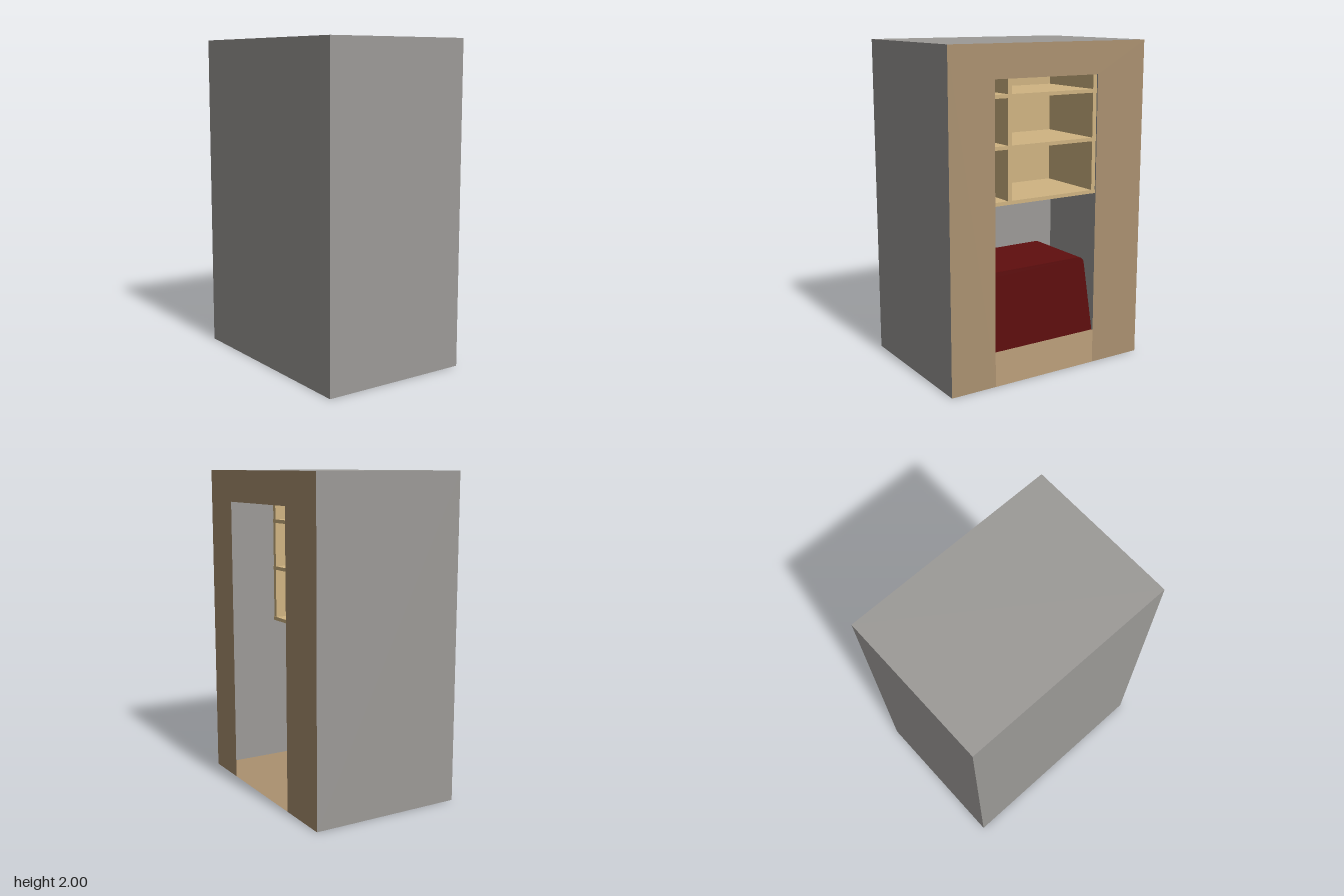
import * as THREE from 'three';

const W = 0.48, H = 2, D = 0.68; // half width, height, half depth of the booth

function material(name, color, side = THREE.FrontSide) {
  const m = new THREE.MeshStandardMaterial({ color, side });
  m.name = name;
  return m;
}

export function createModel() {
  const group = new THREE.Group();
  const grey = material('greyWall', 0x9c9a97, THREE.DoubleSide);
  const tan = material('tanPanel', 0xab9170, THREE.DoubleSide);
  const wood = material('lightWood', 0xd0b482);
  const red = material('darkRed', 0x5f0e0e);

  function add(parent, name, geometry, mat, x = 0, y = 0, z = 0) {
    const mesh = new THREE.Mesh(geometry, mat);
    mesh.name = name;
    mesh.position.set(x, y, z);
    parent.add(mesh);
    return mesh;
  }

  // Thin outer walls, roof and floor
  const endWall = new THREE.PlaneGeometry(2 * W, H);
  const slab = new THREE.PlaneGeometry(2 * W, 2 * D);
  add(group, 'frontWall', endWall, grey, 0, H / 2, D);
  add(group, 'backWall', endWall, grey, 0, H / 2, -D).rotation.y = Math.PI;
  add(group, 'farWall', new THREE.PlaneGeometry(2 * D, H), grey, -W, H / 2, 0).rotation.y = -Math.PI / 2;
  add(group, 'roof', slab, grey, 0, H, 0).rotation.x = -Math.PI / 2;
  add(group, 'floor', slab, tan).rotation.x = Math.PI / 2;

  // Entrance wall with a doorway down to the floor
  const entrance = new THREE.Shape([
    [-D, 0], [-0.385, 0], [-0.385, 1.805], [0.33, 1.805], [0.33, 0], [D, 0], [D, H], [-D, H],
  ].map(([u, v]) => new THREE.Vector2(u, v)));
  add(group, 'entranceWall', new THREE.ShapeGeometry(entrance), tan, W, 0, 0).rotation.y = Math.PI / 2;

  // Open shelf unit filling the upper part of the far wall
  const shelves = new THREE.Group();
  shelves.name = 'shelfUnit';
  group.add(shelves);
  const base = 0.972, top = H - 0.003, front = 0.036, back = -W + 0.003, t = 0.024;
  const depth = front - back, midX = (front + back) / 2, midY = (base + top) / 2;
  const innerD = 2 * D - 0.006;
  const board = new THREE.BoxGeometry(depth, t, innerD);
  for (const y of [base + t / 2, 1.337, 1.657, top - t / 2]) add(shelves, 'shelfBoard', board, wood, midX, y, 0);
  const upright = new THREE.BoxGeometry(depth - 0.002, top - base - 0.002, 0.03);
  for (const z of [-D + 0.019, 0, D - 0.019]) add(shelves, 'shelfUpright', upright, wood, midX - 0.001, midY, z);
  add(shelves, 'shelfBack', new THREE.BoxGeometry(0.02, top - base - 0.004, innerD - 0.004), wood, back + 0.011, midY, 0);

  // Tapered seat block with rounded upper edges, running across to the far wall
  const seat = new THREE.Shape();
  seat.moveTo(-0.46, 0);
  seat.lineTo(0.46, 0);
  seat.lineTo(0.382, 0.495);
  seat.quadraticCurveTo(0.375, 0.54, 0.325, 0.54);
  seat.lineTo(-0.325, 0.54);
  seat.quadraticCurveTo(-0.375, 0.54, -0.382, 0.495);
  seat.closePath();
  const seatGeometry = new THREE.ExtrudeGeometry(seat, { depth: 0.505, bevelEnabled: false, curveSegments: 8 });
  add(group, 'seatBlock', seatGeometry, red, -0.475, 0.002, -0.216).rotation.y = Math.PI / 2;

  return group;
}
